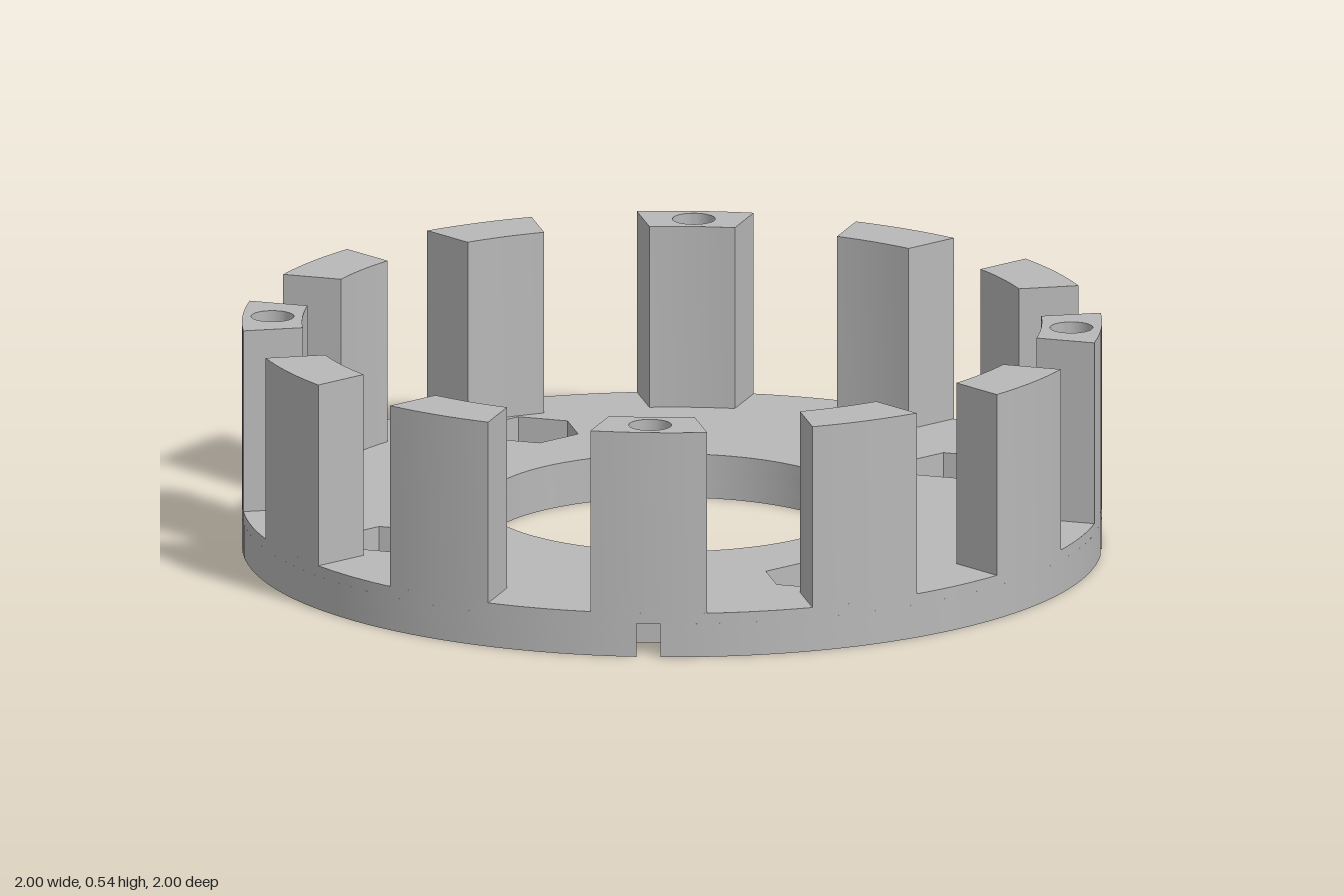
import * as THREE from 'three';
import { toCreasedNormals } from 'three/addons/utils/BufferGeometryUtils.js';

const RAD = Math.PI / 180;
const HOLE_R = 0.05, HOLE_AT = 0.93;      // bolt holes in every third post
const NUT_R = 0.07, SLOT = 0.028;         // nut pockets open to the rim
const SLIT = 0.125, POST_IN = 0.86;       // half gap between posts, inner radius

// local radial / tangential offsets turned to angle a
const polar = (r, t, a) => new THREE.Vector2(
  r * Math.cos(a) - t * Math.sin(a), r * Math.sin(a) + t * Math.cos(a));

function arc(r, from, to, n) {
  return Array.from({ length: n + 1 }, (_, i) => polar(r, 0, from + (to - from) * i / n));
}

const boltAngles = [15, 105, 195, 285].map(d => d * RAD);
const circle = (c, r, n) => new THREE.Path(
  arc(r, 0, 2 * Math.PI, n).slice(0, -1).map(p => p.add(c)));
const boltHole = a => circle(polar(HOLE_AT, 0, a), HOLE_R, 32);
const diagonals = [[1, 1], [-1, 1], [-1, -1], [1, -1]]
  .map(([x, y]) => new THREE.Vector2(0.52 * x, 0.52 * y));

// rim outline, with nut pockets breaking through to the outside
function notchedDisc() {
  const half = Math.asin(SLOT), flat = HOLE_AT + NUT_R * 0.866, back = HOLE_AT - NUT_R * 0.866;
  const pts = [];
  boltAngles.forEach(a => {
    [[flat, -SLOT], [flat, -NUT_R / 2], [HOLE_AT, -NUT_R], [back, -NUT_R / 2],
      [back, NUT_R / 2], [HOLE_AT, NUT_R], [flat, NUT_R / 2], [flat, SLOT]]
      .forEach(([r, t]) => pts.push(polar(r, t, a)));
    pts.push(...arc(1, a + half, a + Math.PI / 2 - half, 32));
  });
  return new THREE.Shape(pts);
}

export function createModel() {
  const group = new THREE.Group();
  const grey = new THREE.MeshStandardMaterial({ color: 0xb8b8b8 });
  grey.name = 'light grey';

  const slab = (name, shape, y0, y1) => {
    const geo = new THREE.ExtrudeGeometry(shape, { depth: y1 - y0, bevelEnabled: false });
    geo.rotateX(-Math.PI / 2);
    geo.translate(0, y0, 0);
    const mesh = new THREE.Mesh(toCreasedNormals(geo, 30 * RAD), grey);
    mesh.name = name;
    group.add(mesh);
  };

  const bore = () => circle(new THREE.Vector2(), 0.44, 96);
  const hexes = () => diagonals.map(c => circle(c, 0.12, 6));
  const rects = () => diagonals.map(c => new THREE.Path(
    [[-1, -1], [1, -1], [1, 1], [-1, 1]].map(([x, y]) =>
      new THREE.Vector2(c.x + 0.06 * x, c.y + 0.104 * y))));

  // base ring: rectangular openings below, hexagonal recesses above
  const bottom = notchedDisc();
  bottom.holes.push(bore(), ...rects());
  slab('baseBottom', bottom, 0, 0.02);

  const middle = notchedDisc();
  middle.holes.push(bore(), ...hexes());
  slab('baseMiddle', middle, 0.02, 0.08);

  const top = new THREE.Shape(arc(1, 0, 2 * Math.PI, 128).slice(0, -1));
  top.holes.push(bore(), ...hexes(), ...boltAngles.map(boltHole));
  slab('baseTop', top, 0.08, 0.105);

  // twelve posts separated by parallel-sided gaps
  const outer = Math.asin(SLIT), inner = Math.asin(SLIT / POST_IN);
  for (let k = 0; k < 12; k++) {
    const a = 30 * k * RAD, b = a + 30 * RAD;
    const shape = new THREE.Shape([
      ...arc(1, a + outer, b - outer, 8), ...arc(POST_IN, b - inner, a + inner, 6)]);
    if (k % 3 === 0) shape.holes.push(boltHole(a + 15 * RAD));
    slab(k % 3 ? 'post' : 'boltPost', shape, 0.105, 0.54);
  }
  return group;
}
